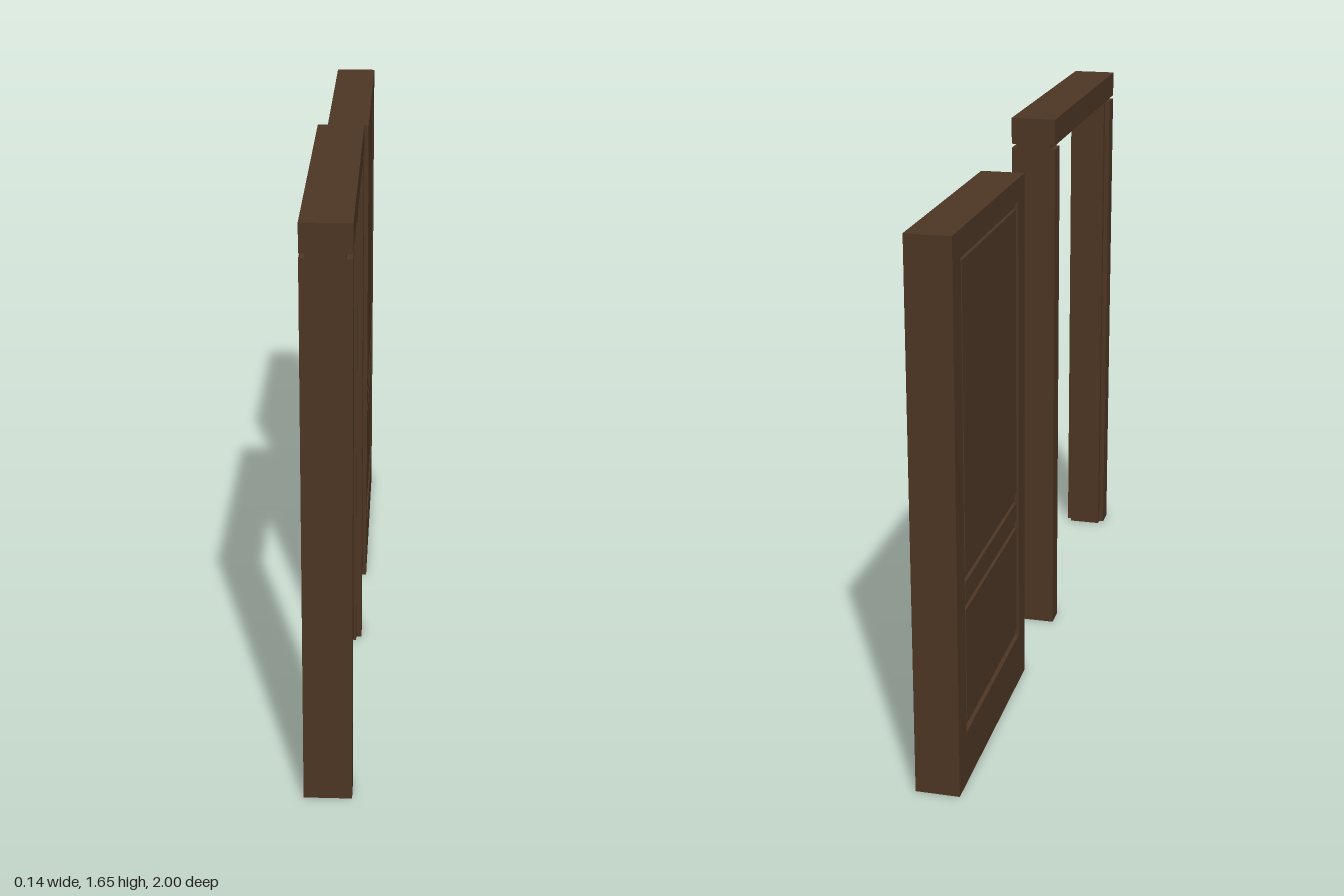
import * as THREE from 'three';

export function createModel() {
  const model = new THREE.Group();
  const wood = new THREE.MeshStandardMaterial({ color: 0x4d3624 });
  wood.name = 'dark brown wood';

  // Box given by its limits on each axis
  function box(parent, name, [x0, x1], [y0, y1], [z0, z1]) {
    const mesh = new THREE.Mesh(new THREE.BoxGeometry(x1 - x0, y1 - y0, z1 - z0), wood);
    mesh.position.set((x0 + x1) / 2, (y0 + y1) / 2, (z0 + z1) / 2);
    mesh.name = name;
    parent.add(mesh);
  }

  // Door frame: two jambs and a head, each with a narrower stop on the inside
  const frame = new THREE.Group();
  frame.name = 'doorFrame';
  const wide = [-0.07, 0.063], narrow = [-0.055, 0.047];
  const near = 1, far = 0.085, face = 0.064, depth = 0.085;
  box(frame, 'frontJamb', wide, [0, 1.56], [near - face, near]);
  box(frame, 'frontStop', narrow, [0, 1.56], [near - depth, near - face]);
  box(frame, 'rearJamb', wide, [0, 1.56], [far, far + face]);
  box(frame, 'rearStop', narrow, [0, 1.56], [far + face, far + depth]);
  box(frame, 'head', wide, [1.572, 1.65], [far, near]);
  box(frame, 'headStop', narrow, [1.56, 1.572], [far, near]);
  model.add(frame);

  // Door leaf standing beside the frame
  const door = new THREE.Group();
  door.name = 'door';
  const x0 = -0.058, x1 = 0.067, recess = 0.012, lip = 0.003;

  // Surround with one tall opening, drawn in (-z, y) and extruded along x
  const outline = new THREE.Shape([[0.255, 0], [1, 0], [1, 1.56], [0.255, 1.56]].map(p => new THREE.Vector2(...p)));
  outline.holes.push(new THREE.Path([[0.328, 0.155], [0.328, 1.495], [0.925, 1.495], [0.925, 0.155]].map(p => new THREE.Vector2(...p))));
  const surround = new THREE.Mesh(
    new THREE.ExtrudeGeometry(outline, { depth: x1 - x0, bevelEnabled: false }), wood);
  surround.rotation.y = Math.PI / 2;
  surround.position.x = x0;
  surround.name = 'doorSurround';
  door.add(surround);

  // Recessed core and the three raised panels, showing on both sides
  box(door, 'doorCore', [x0 + recess, x1 - recess], [0.155, 1.495], [-0.925, -0.328]);
  const panels = [['upperPanel', 0.625, 1.475], ['middleRail', 0.54, 0.595], ['lowerPanel', 0.185, 0.513]];
  for (const [name, y0, y1] of panels) {
    box(door, name, [x0 + lip, x1 - lip], [y0, y1], [-0.905, -0.343]);
  }
  model.add(door);

  return model;
}
